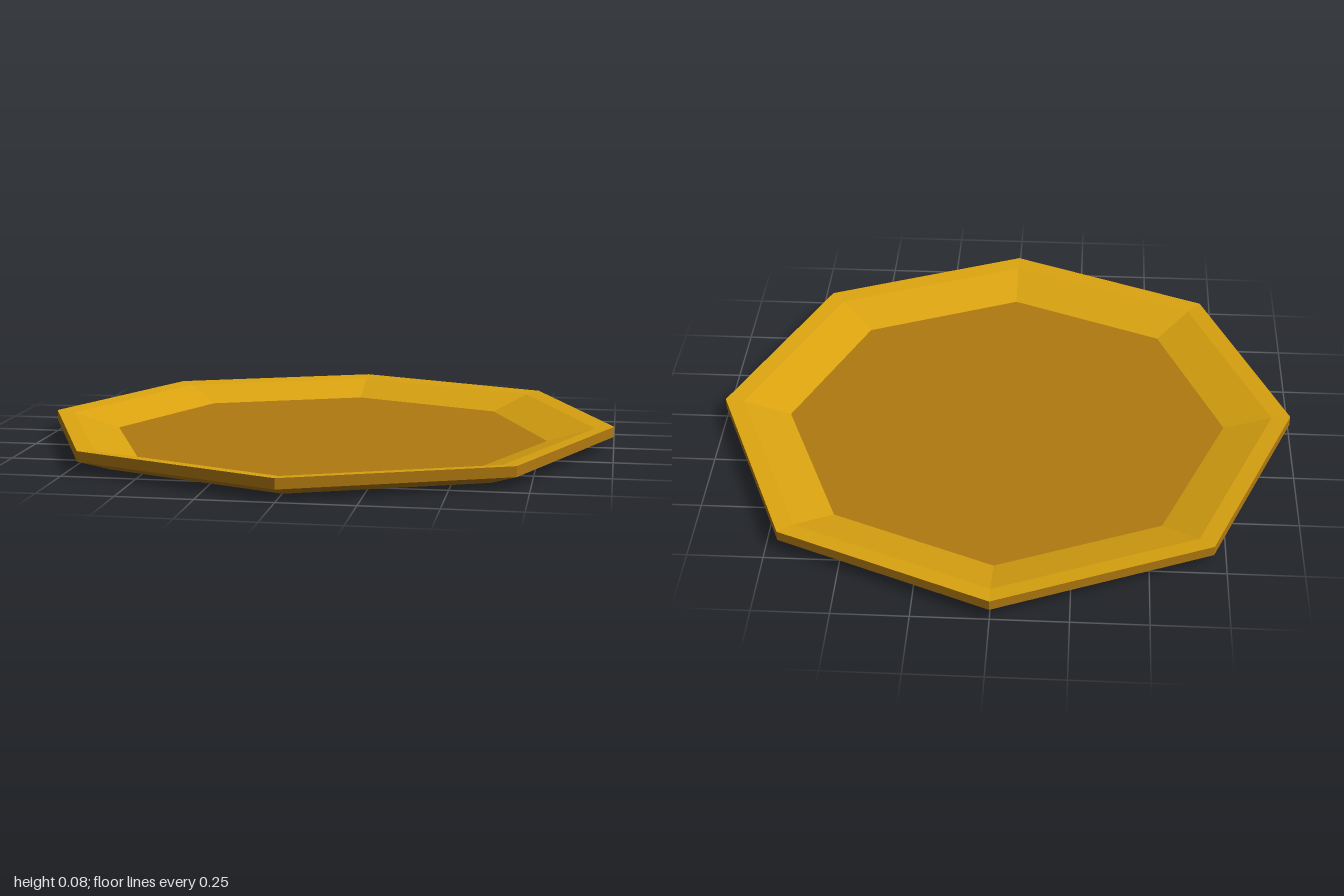
import * as THREE from 'three';

const SIDES = 8;
const mat = (name, color) => new THREE.MeshStandardMaterial({ name, color, flatShading: true });

export function createModel() {
  const gold = mat('gold', 0xdaa310);
  const brown = mat('brown', 0xb0790f);
  const dark = mat('dark underside', 0x7a6548);

  const plate = new THREE.Group();
  plate.name = 'plate';

  // Eight-sided ring from [radius, height] points, corners on the axes
  const ring = (name, points, material) => {
    const profile = points.map(([r, y]) => new THREE.Vector2(r, y));
    const mesh = new THREE.Mesh(new THREE.LatheGeometry(profile, SIDES), material);
    mesh.name = name;
    plate.add(mesh);
  };

  // Flat eight-sided disc facing up or down
  const disc = (name, radius, y, up, material) => {
    const mesh = new THREE.Mesh(new THREE.CircleGeometry(radius, SIDES), material);
    mesh.name = name;
    mesh.rotation.x = up ? -Math.PI / 2 : Math.PI / 2;
    mesh.position.y = y;
    plate.add(mesh);
  };

  // Underside and outer edge
  disc('base', 0.88, 0, false, dark);
  ring('outerEdge', [[0.88, 0], [1, 0.04], [1, 0.075]], brown);

  // Gently sloped rim, steeper inner wall and sunken floor
  ring('rim', [[1, 0.075], [0.935, 0.068]], gold);
  ring('innerWall', [[0.935, 0.068], [0.77, 0.018]], gold);
  disc('floor', 0.77, 0.018, true, brown);

  return plate;
}
